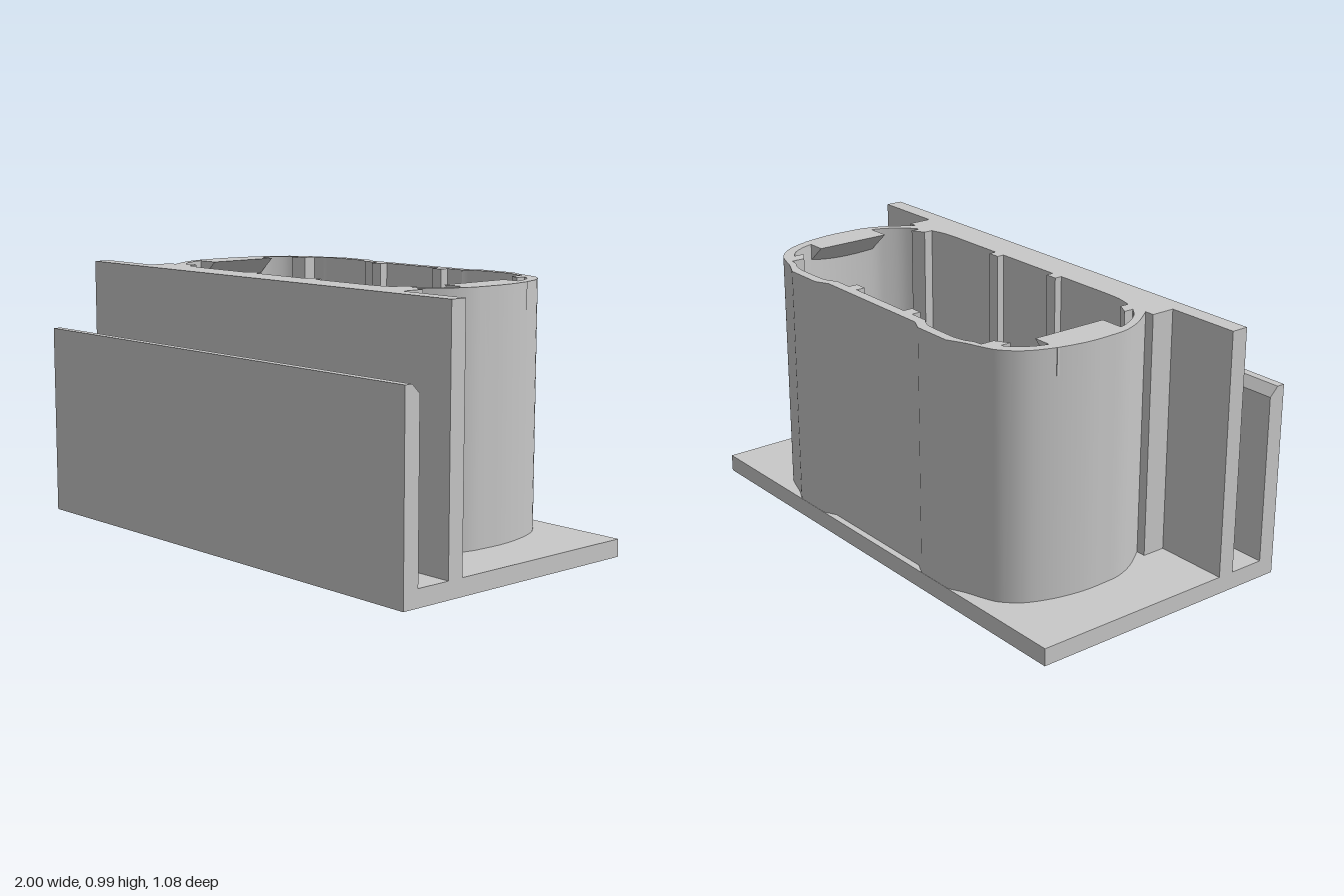
import * as THREE from 'three';
import { toCreasedNormals } from 'three/addons/utils/BufferGeometryUtils.js';

const BASE = 0.066, TOP = 0.992, BACK = -0.539, FRONT = 0.539;
const WALL_BACK = 0.268, WALL_FRONT = 0.334;

const v = (x, z) => new THREE.Vector2(x, -z); // plan point (x, z) in shape space

// Closed counter-clockwise outline from the right half, given from back to front
function mirrored(half) {
  return [...half.map(p => new THREE.Vector2(-p.x, p.y)), ...half.slice().reverse()];
}

// Smooth run of plan points
function smooth(points, n) {
  return new THREE.SplineCurve(points.map(p => v(...p))).getPoints(n);
}

const corners = points => points.map(p => v(...p));

// Plan shape with a hole, raised from y0 to y1
function raise(outline, hole, y0, y1) {
  const shape = new THREE.Shape(outline);
  shape.holes.push(new THREE.Path(hole));
  const geo = new THREE.ExtrudeGeometry(shape, { depth: y1 - y0, bevelEnabled: false });
  geo.rotateX(-Math.PI / 2).translate(0, y0, 0);
  return toCreasedNormals(geo, 0.3);
}

export function createModel() {
  const group = new THREE.Group();
  const grey = new THREE.MeshStandardMaterial({ color: 0xc8c8c8 });
  grey.name = 'grey';
  const add = (name, geo) => {
    const mesh = new THREE.Mesh(geo, grey);
    mesh.name = name;
    group.add(mesh);
  };

  // Through opening with its guide ribs
  const opening = mirrored([
    ...corners([[0.144, -0.473], [0.144, -0.438], [0.193, -0.438], [0.193, -0.473], [0.27, -0.473]]),
    ...smooth([[0.28, -0.48], [0.315, -0.497], [0.36, -0.501]], 5),
    ...smooth([[0.46, -0.501], [0.51, -0.492], [0.54, -0.476], [0.575, -0.47]], 8),
    ...corners([[0.575, -0.418], [0.625, -0.388]]),
    ...smooth([[0.625, -0.43], [0.665, -0.398], [0.695, -0.35], [0.713, -0.3], [0.735, -0.2],
      [0.742, -0.1], [0.733, 0.005], [0.712, 0.06], [0.675, 0.117], [0.625, 0.158]], 32),
    ...corners([[0.625, 0.12], [0.575, 0.147], [0.575, 0.183]]),
    ...smooth([[0.56, 0.186], [0.51, 0.198], [0.44, 0.202]], 6),
    ...corners([[0.193, 0.202], [0.193, 0.173], [0.144, 0.173], [0.144, 0.202]]),
  ]);

  // Sleeve outside, ending in square shoulders at the tall wall
  const sleeve = mirrored([
    ...corners([[0.265, -0.513], [0.315, -0.538], [0.47, -0.538]]),
    ...smooth([[0.485, -0.531], [0.535, -0.507], [0.595, -0.487], [0.655, -0.46],
      [0.715, -0.395], [0.755, -0.295], [0.776, -0.18], [0.776, -0.08], [0.768, 0],
      [0.733, 0.085], [0.672, 0.175]], 40),
    ...corners([[0.71, 0.175], [0.71, WALL_BACK]]),
  ]);

  const plate = corners([[-1, FRONT], [1, FRONT], [1, BACK], [-1, BACK]]);
  add('basePlate', raise(plate, opening, 0, BASE));
  add('sleeve', raise(sleeve, opening, BASE, TOP));

  // Wedge-shaped tabs at the top of both ends of the sleeve
  for (const s of [-1, 1]) {
    const wedge = new THREE.Shape([[0.643, TOP], [0.757, TOP], [0.757, TOP - 0.1]]
      .map(([x, y]) => new THREE.Vector2(s * x, y)));
    const tab = new THREE.ExtrudeGeometry(wedge, { depth: 0.3, bevelEnabled: false });
    tab.translate(0, 0, -0.297);
    add(s > 0 ? 'leftTab' : 'rightTab', tab);
  }

  // Tall wall in front of the sleeve
  const wall = new THREE.BoxGeometry(2, TOP - BASE, WALL_FRONT - WALL_BACK);
  wall.translate(0, (TOP + BASE) / 2, (WALL_FRONT + WALL_BACK) / 2);
  add('tallWall', wall);

  // Low front wall with a bevelled inner top edge, swept along x
  const profile = new THREE.Shape([[FRONT, BASE], [FRONT, 0.736], [0.507, 0.736], [0.473, 0.702], [0.473, BASE]]
    .map(([z, y]) => new THREE.Vector2(-z, y)));
  const low = new THREE.ExtrudeGeometry(profile, { depth: 2, bevelEnabled: false });
  low.rotateY(Math.PI / 2).translate(-1, 0, 0);
  add('frontWall', low);

  return group;
}
